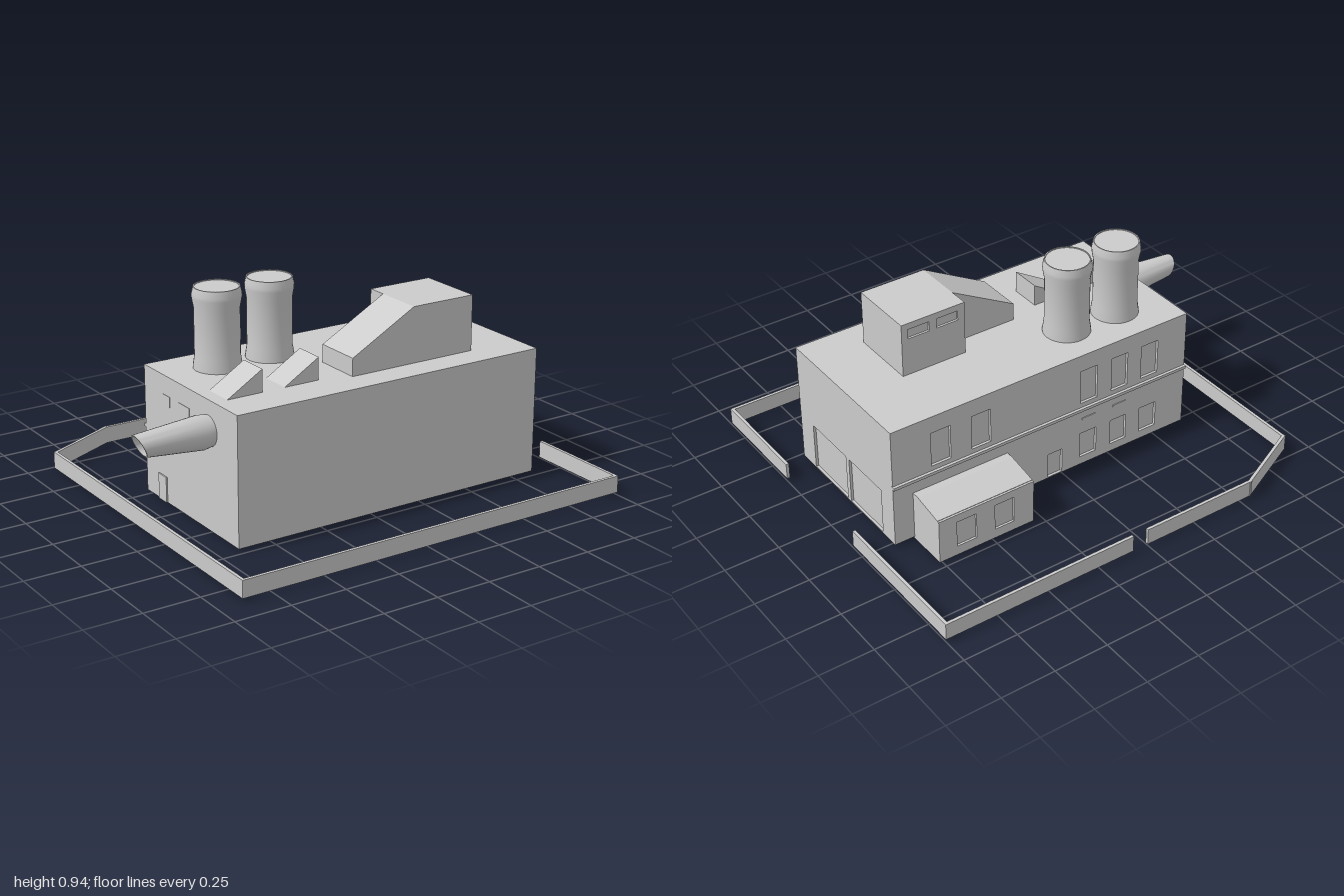
import * as THREE from 'three';
import { toCreasedNormals } from 'three/addons/utils/BufferGeometryUtils.js';

const material = new THREE.MeshStandardMaterial({ color: 0xcccccc });

function add(parent, name, geometry) {
  const mesh = new THREE.Mesh(geometry, material);
  mesh.name = name;
  parent.add(mesh);
  return mesh;
}

// Box given by its limits on each axis
function box(parent, name, x0, x1, y0, y1, z0, z1) {
  const m = add(parent, name, new THREE.BoxGeometry(x1 - x0, y1 - y0, z1 - z0));
  m.position.set((x0 + x1) / 2, (y0 + y1) / 2, (z0 + z1) / 2);
  return m;
}

const rect = ([x0, x1, y0, y1]) =>
  [[x0, y0], [x1, y0], [x1, y1], [x0, y1]].map(p => new THREE.Vector2(...p));

// Outline pushed along z, with optional rectangular openings
function prism(points, depth, openings = []) {
  const shape = new THREE.Shape(points.map(p => new THREE.Vector2(...p)));
  for (const o of openings) shape.holes.push(new THREE.Path(rect(o)));
  return new THREE.ExtrudeGeometry(shape, { depth, bevelEnabled: false });
}

// Wall facing the back: limits in x and y, outer face at z
function backWall(parent, name, limits, z, depth, openings) {
  const pts = rect(limits).map(p => [p.x, p.y]);
  add(parent, name, prism(pts, depth, openings)).position.z = z;
}

// Profile in z and y, pushed from x towards -x
function sideways(parent, name, points, x, depth, openings) {
  const g = prism(points, depth, openings).rotateY(-Math.PI / 2);
  add(parent, name, g).position.x = x;
}

function lathe(points, segments) {
  return new THREE.LatheGeometry(points.map(p => new THREE.Vector2(...p)), segments);
}

function createBuilding() {
  const g = new THREE.Group();
  g.name = 'mainBuilding';
  const t = 0.012;
  box(g, 'mainBlock', -0.66, 0.855 - t, 0.01, 0.58, -0.275 + t, 0.475);

  // Rear wall with two rows of windows and a small door
  const columns = [[-0.178, -0.09], [-0.34, -0.255], [-0.505, -0.415]];
  const openings = [[0.571, 0.666, 0.335, 0.5], [0.373, 0.468, 0.335, 0.5], [0.005, 0.08, 0.015, 0.135]];
  for (const [a, b] of columns) openings.push([a, b, 0.335, 0.5], [a, b, 0.05, 0.175]);
  backWall(g, 'rearWall', [-0.66, 0.855, 0.01, 0.58], -0.275, t, openings);

  // End wall with two garage doors
  sideways(g, 'garageWall', [[-0.275 + t, 0.01], [0.475, 0.01], [0.475, 0.58], [-0.275 + t, 0.58]],
    0.855, t, [[0.1, 0.37, 0.015, 0.235], [-0.18, 0.075, 0.015, 0.235]]);

  // Ledge and small lamps on the rear wall
  box(g, 'rearLedge', -0.66, 0.857, 0.298, 0.312, -0.288, -0.27);
  for (const x of [-0.135, -0.3]) box(g, 'wallLamp', x - 0.035, x + 0.035, 0.245, 0.255, -0.279, -0.27);

  // Side door and narrow windows beside the pipe
  box(g, 'sideDoor', -0.666, -0.65, 0.01, 0.125, -0.165, -0.1);
  for (const [a, b] of [[-0.12, -0.06], [0.01, 0.1]])
    box(g, 'sideWindow', -0.662, -0.65, 0.45, 0.495, a, b);
  return g;
}

function createAnnex() {
  const g = new THREE.Group();
  g.name = 'annex';
  const back = -0.465, t = 0.01;
  sideways(g, 'annexBlock',
    [[back + t, 0], [-0.26, 0], [-0.26, 0.238], [-0.31, 0.238], [back + t, 0.21]], 0.76, 0.47);
  backWall(g, 'annexRearWall', [0.29, 0.76, 0, 0.208], back, t,
    [[0.577, 0.673, 0.045, 0.17], [0.39, 0.485, 0.045, 0.17]]);
  box(g, 'annexSideWindow', 0.288, 0.3, 0.14, 0.18, -0.42, -0.32);
  return g;
}

function createRoofHouse() {
  const g = new THREE.Group();
  g.name = 'roofHouse';
  const t = 0.01;
  box(g, 'roofHouseBlock', 0.29, 0.6, 0.57, 0.83, 0.03 + t, 0.343);
  backWall(g, 'roofHouseRearWall', [0.29, 0.6, 0.57, 0.83], 0.03, t,
    [[0.465, 0.57, 0.755, 0.8], [0.325, 0.43, 0.755, 0.8]]);
  add(g, 'slopedStairRoof', prism([[-0.02, 0.57], [0.295, 0.57], [0.295, 0.83], [0.29, 0.83], [-0.02, 0.66]], 0.223))
    .position.z = 0.12;
  box(g, 'roofDoor', 0.286, 0.3, 0.59, 0.71, 0.045, 0.105);
  return g;
}

function createChimney(x) {
  const profile = [[0, 0.57], [0.105, 0.57], [0.105, 0.59], [0.098, 0.635], [0.098, 0.845],
    [0.106, 0.89], [0.106, 0.905], [0.099, 0.935], [0.094, 0.935], [0.094, 0.931], [0, 0.931]];
  const mesh = new THREE.Mesh(toCreasedNormals(lathe(profile, 32), 0.6), material);
  mesh.name = 'chimney';
  mesh.position.set(x, 0, -0.075);
  return mesh;
}

// Tapered outlet pipe with a slanted, hollow mouth
function createPipe() {
  const g = lathe([[0, 0.65], [0.066, 0.65], [0.067, 0.665], [0.073, 0.7], [0.05, 0.977],
    [0.044, 0.977], [0.046, 0.92], [0, 0.92]], 28).rotateZ(Math.PI / 2);
  const p = g.attributes.position;
  for (let i = 0; i < p.count; i++)
    if (p.getX(i) < -0.96) p.setX(i, p.getX(i) - p.getY(i) * 0.46);
  const mesh = new THREE.Mesh(toCreasedNormals(g, 0.6), material);
  mesh.name = 'outletPipe';
  mesh.position.set(0, 0.447, 0.252);
  return mesh;
}

// Low wall around the yard, with a rear gate gap and a side driveway gap
function createYardWall() {
  const g = new THREE.Group();
  g.name = 'yardWall';
  const t = 0.014;
  const runs = [
    [[0.005, -0.868], [-0.55, -0.868], [-0.88, -0.708], [-0.88, 0.865], [0.993, 0.865], [0.993, 0.37]],
    [[0.08, -0.868], [0.993, -0.868], [0.993, -0.18]],
  ];
  for (const run of runs)
    for (let i = 0; i + 1 < run.length; i++) {
      const [ax, az] = run[i], [bx, bz] = run[i + 1];
      const startPad = i > 0 ? t / 2 : 0, endPad = i + 2 < run.length ? t / 2 : 0;
      const length = Math.hypot(bx - ax, bz - az);
      const shift = (endPad - startPad) / 2 / length;
      const m = add(g, 'yardWallSection', new THREE.BoxGeometry(length + startPad + endPad, 0.076, t));
      m.position.set((ax + bx) / 2 + (bx - ax) * shift, 0.05, (az + bz) / 2 + (bz - az) * shift);
      m.rotation.y = -Math.atan2(bz - az, bx - ax);
    }
  return g;
}

export function createModel() {
  const model = new THREE.Group();
  model.name = 'factory';
  model.add(createBuilding(), createAnnex(), createRoofHouse(), createPipe(), createYardWall());
  for (const x of [-0.418, -0.16]) model.add(createChimney(x));
  // Wedge skylights on the roof
  for (const x of [-0.433, -0.16])
    add(model, 'skylight', prism([[x - 0.175, 0.575], [x, 0.575], [x, 0.68]], 0.14)).position.z = 0.16;
  return model;
}
